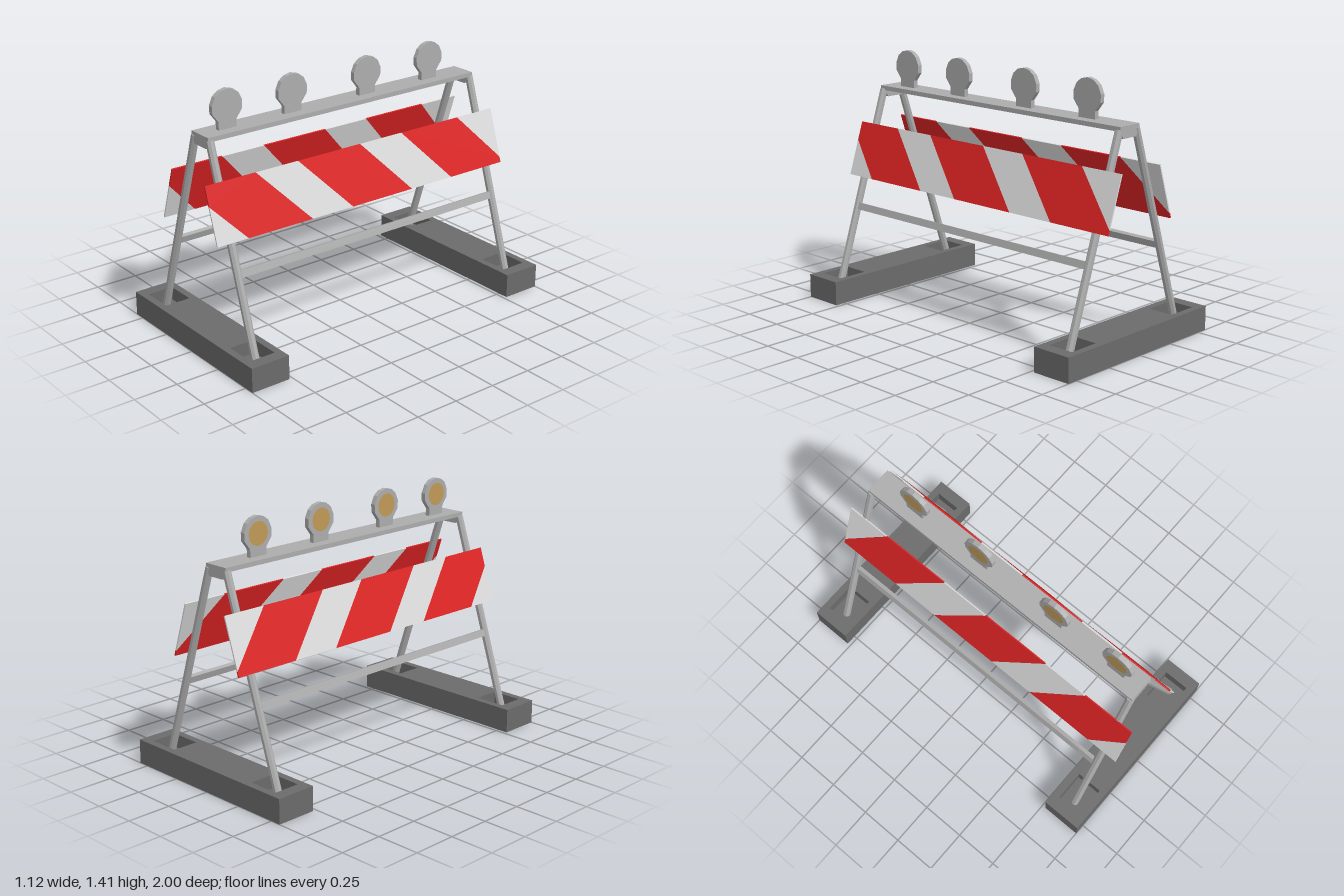
import * as THREE from 'three';

const mat = (name, color) => {
  const m = new THREE.MeshStandardMaterial({ color });
  m.name = name;
  return m;
};

export function createModel() {
  const steel = mat('steel grey', 0xadadad);
  const rubber = mat('dark rubber', 0x6b6b6b);
  const red = mat('signal red', 0xdd2424);
  const white = mat('board white', 0xdcdcdc);
  const amber = mat('amber lens', 0xc09a58);
  const model = new THREE.Group();
  model.name = 'trafficBarricade';

  const add = (parent, name, geometry, material, x = 0, y = 0, z = 0) => {
    const mesh = new THREE.Mesh(geometry, material);
    mesh.name = name;
    mesh.position.set(x, y, z);
    parent.add(mesh);
    return mesh;
  };
  const shapeOf = (pts) => new THREE.Shape(pts.map(([x, y]) => new THREE.Vector2(x, y)));
  // Outline extruded symmetrically about its own plane
  const slab = (pts, depth) => new THREE.ExtrudeGeometry(shapeOf(pts), { depth, bevelEnabled: false })
    .translate(0, 0, -depth / 2);
  const rect = (x0, x1, y0, y1) => [[x0, y0], [x1, y0], [x1, y1], [x0, y1]];

  // Leg centre line: x shrinks evenly with height
  const SLOPE = 0.33;
  const legX = (y) => 0.41 - SLOPE * (y - 0.135);
  const tilt = Math.atan(SLOPE);

  // Weighted feet with a sunken pocket for each leg
  const floorY = 0.06, footTop = 0.137;
  for (const end of [-1, 1]) {
    const foot = new THREE.Group();
    foot.name = end > 0 ? 'frontFoot' : 'backFoot';
    foot.position.z = end * 0.885;
    const rim = shapeOf(rect(-0.56, 0.56, -0.115, 0.115));
    for (const s of [-1, 1]) {
      const hole = rect(s * 0.4 - 0.09, s * 0.4 + 0.09, -0.075, 0.075).reverse();
      rim.holes.push(new THREE.Path(hole.map(([x, y]) => new THREE.Vector2(x, y))));
    }
    const rimGeo = new THREE.ExtrudeGeometry(rim, { depth: footTop - floorY, bevelEnabled: false });
    rimGeo.rotateX(-Math.PI / 2);
    add(foot, 'footRim', rimGeo, rubber, 0, floorY, 0);
    add(foot, 'footBase', new THREE.BoxGeometry(1.12, floorY, 0.23), rubber, 0, floorY / 2, 0);
    model.add(foot);
  }

  // Eight-sided leg tubes
  const y0 = 0.06, y1 = 1.18;
  const legGeo = new THREE.CylinderGeometry(0.0225, 0.0225, (y1 - y0) / Math.cos(tilt), 8)
    .rotateY(Math.PI / 8).toNonIndexed();
  legGeo.computeVertexNormals();
  for (const end of [-1, 1]) for (const s of [-1, 1]) {
    const yMid = (y0 + y1) / 2;
    const leg = add(model, 'leg', legGeo, steel, s * legX(yMid), yMid, end * 0.884);
    leg.rotation.z = s * tilt;
  }

  // Top rail with a bracket at each end
  add(model, 'topRail', new THREE.BoxGeometry(0.152, 0.025, 1.8), steel, 0, 1.1875, 0);
  const bracket = slab([[-0.05, 1.135], [0.05, 1.135], [0.076, 1.176], [-0.076, 1.176]], 0.035);
  for (const end of [-1, 1]) add(model, 'railBracket', bracket, steel, 0, 0, end * 0.8825);

  // Lower cross bars between the legs
  for (const s of [-1, 1]) {
    const bar = add(model, 'crossBar', new THREE.BoxGeometry(0.024, 0.04, 1.74), steel, s * legX(0.518), 0.518, 0);
    bar.rotation.z = s * tilt;
  }

  // Striped boards: outlines as [z, fraction of board height]
  const stripes = [
    [white, [[0.98, 0], [0.98, 0.655], [0.79, 0]]],
    [red, [[0.98, 0.655], [0.98, 1], [0.67, 1], [0.38, 0], [0.79, 0]]],
    [white, [[0.67, 1], [0.4, 1], [0.11, 0], [0.38, 0]]],
    [red, [[0.4, 1], [-0.015, 1], [-0.305, 0], [0.11, 0]]],
    [white, [[-0.015, 1], [-0.305, 1], [-0.595, 0], [-0.305, 0]]],
    [red, [[-0.305, 1], [-0.72, 1], [-0.98, 0.1], [-0.98, 0], [-0.595, 0]]],
    [white, [[-0.72, 1], [-0.98, 1], [-0.98, 0.1]]],
  ];
  const boardHeight = 0.3 / Math.cos(tilt);
  // Turns an outline drawn in x, y so that its x runs along world z
  const facing = (up) => {
    const along = new THREE.Vector3(0, 0, 1);
    return new THREE.Matrix4().makeBasis(along, up, along.clone().cross(up));
  };
  for (const s of [-1, 1]) {
    const board = new THREE.Group();
    board.name = s > 0 ? 'leftBoard' : 'rightBoard';
    const up = new THREE.Vector3(-s * Math.sin(tilt), Math.cos(tilt), 0);
    board.quaternion.setFromRotationMatrix(facing(up));
    board.position.set(s * 0.251, 0.685, 0);
    for (const [m, pts] of stripes) {
      add(board, m === red ? 'redStripe' : 'whiteStripe', slab(pts.map(([z, f]) => [z, f * boardHeight]), 0.008), m);
    }
    model.add(board);
  }

  // Warning lamps: flat housing on a neck, amber lens on one side
  const half = [[0.055, 0], [0.055, 0.043], [0.091, 0.09], [0.093, 0.135], [0.072, 0.18], [0.04, 0.204]];
  const outline = [...half, [0, 0.213], ...half.map(([x, y]) => [-x, y]).reverse()];
  const housing = slab(outline, 0.027);
  const lensGeo = new THREE.CircleGeometry(0.066, 12);
  for (const z of [0.738, 0.325, -0.178, -0.625]) {
    const lamp = new THREE.Group();
    lamp.name = 'warningLamp';
    lamp.quaternion.setFromRotationMatrix(facing(new THREE.Vector3(0, 1, 0)));
    lamp.position.set(0, 1.2, z);
    add(lamp, 'lampHousing', housing, steel);
    add(lamp, 'lampLens', lensGeo, amber, 0, 0.12, 0.0155);
    model.add(lamp);
  }
  return model;
}
